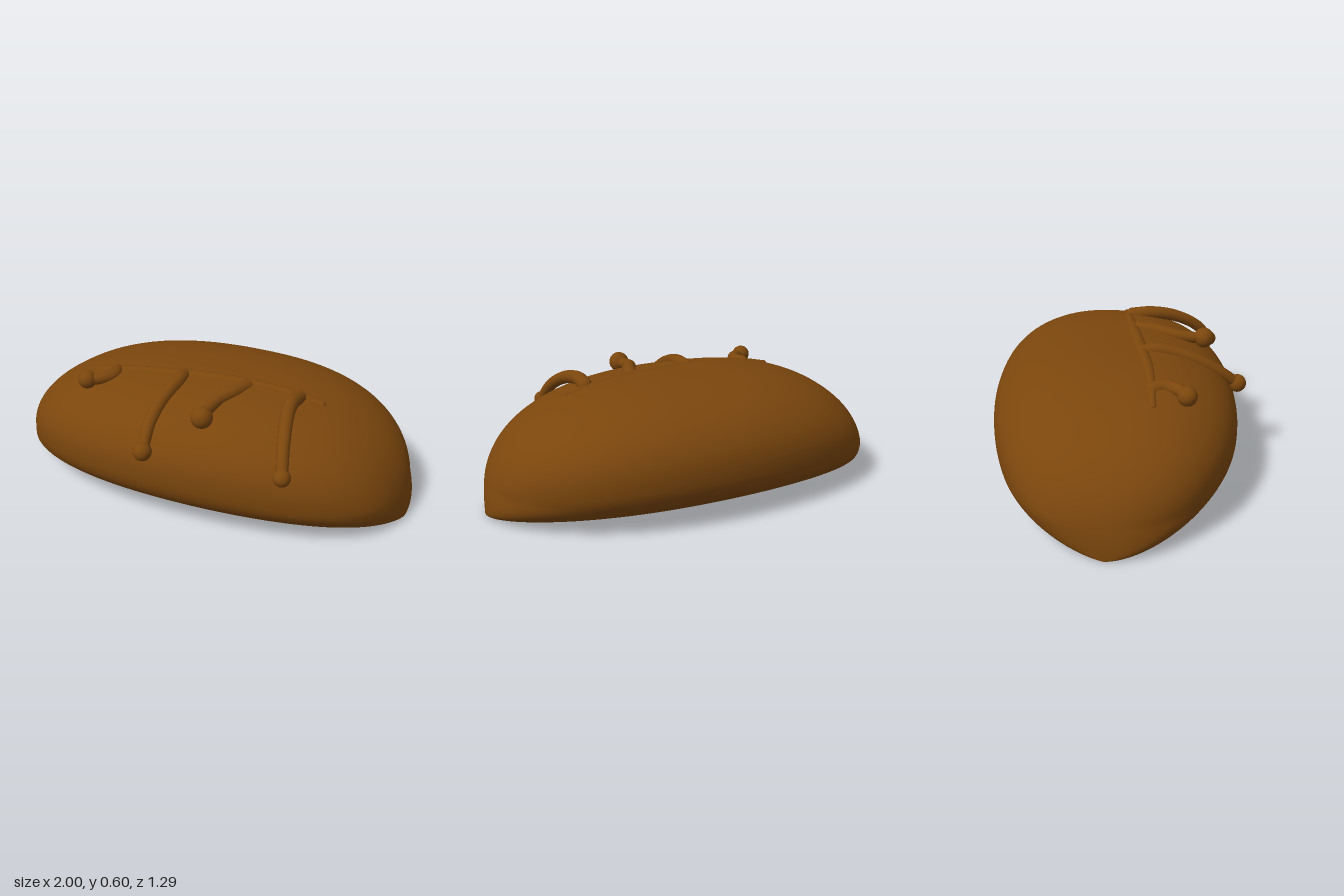
import * as THREE from 'three';

const crust = new THREE.MeshStandardMaterial({ color: 0x7b460d });
crust.name = 'crust brown';

// Loaf shape rules: sideways skew, half width and height along x
const skew = x => -0.01 - 0.17 * x + 0.08 * x ** 3;
const halfWidth = x => 0.611 * Math.max(0, 1 - Math.abs(x) ** 2.15) ** 0.47;
const height = x => 0.583 * Math.max(0, 1 - Math.abs(x) ** 2.5) ** 0.4;
const WAIST = 0.43; // widest level as a share of the height
const TOP = 2.25, BASE = 2.5; // roundness of the dome and of the underside
const superPow = (v, n) => Math.sign(v) * Math.abs(v) ** (2 / n);

// Height of the loaf's upper surface at x, z
function surfaceY(x, z) {
  const u = Math.min(1, Math.abs(z - skew(x)) / halfWidth(x));
  return height(x) * (WAIST + (1 - WAIST) * (1 - u ** TOP) ** (1 / TOP));
}

// Loaf body: cross-sections with a domed top and a flatter base
function loafGeometry(slices = 96, sides = 96) {
  const positions = [], index = [];
  for (let i = 0; i <= slices; i++) {
    const x = -Math.cos(Math.PI * i / slices);
    const w = halfWidth(x), h = height(x), c = skew(x);
    for (let j = 0; j < sides; j++) {
      const a = 2 * Math.PI * j / sides;
      const up = Math.sin(a) > 0;
      const n = up ? TOP : BASE;
      const y = Math.max(0, h * (WAIST + (up ? 1 - WAIST : WAIST) * superPow(Math.sin(a), n)));
      // the underside twists a little further towards the ends
      const twist = -0.07 * x ** 3 * Math.max(0, 1 - y / 0.15);
      positions.push(x, y, c + twist + w * superPow(Math.cos(a), n));
    }
  }
  for (let i = 0; i < slices; i++) {
    for (let j = 0; j < sides; j++) {
      const k = (j + 1) % sides;
      const a = i * sides + j, b = a + sides;
      const d = i * sides + k, e = d + sides;
      index.push(a, b, d, b, e, d);
    }
  }
  const geometry = new THREE.BufferGeometry();
  geometry.setAttribute('position', new THREE.Float32BufferAttribute(positions, 3));
  geometry.setIndex(index);
  geometry.computeVertexNormals();
  return geometry;
}

// Tube whose radius follows a rule along its length
function taperedTube(points, radiusAt, segments = 64, sides = 16) {
  const curve = new THREE.CatmullRomCurve3(points);
  const geometry = new THREE.TubeGeometry(curve, segments, 1, sides, false);
  const pos = geometry.attributes.position, v = new THREE.Vector3();
  for (let i = 0; i <= segments; i++) {
    const t = i / segments, centre = curve.getPointAt(t);
    for (let j = 0; j <= sides; j++) {
      const k = i * (sides + 1) + j;
      v.fromBufferAttribute(pos, k).sub(centre).multiplyScalar(radiusAt(t)).add(centre);
      pos.setXYZ(k, v.x, v.y, v.z);
    }
  }
  return geometry;
}

function addMesh(parent, name, geometry) {
  const mesh = new THREE.Mesh(geometry, crust);
  mesh.name = name;
  parent.add(mesh);
  return mesh;
}

function addBall(parent, name, centre, radius) {
  addMesh(parent, name, new THREE.SphereGeometry(radius, 24, 16)).position.copy(centre);
}

export function createModel() {
  const model = new THREE.Group();
  model.name = 'loaf';
  addMesh(model, 'loafBody', loafGeometry());

  // Low seam running diagonally over the top, mostly sunk into the crust
  const seam = new THREE.Group();
  seam.name = 'seam';
  model.add(seam);
  const seamRadius = t => 0.017 + 0.024 * Math.sin(Math.PI * t);
  const seamXZ = [[-0.54, 0.27], [-0.42, 0.245], [-0.25, 0.2], [-0.08, 0.14],
    [0.1, 0.08], [0.3, 0.015], [0.45, -0.03], [0.58, -0.06]];
  const seamPoints = seamXZ.map(([x, z], i) => new THREE.Vector3(
    x, surfaceY(x, z) + 0.009 - seamRadius(i / 7), z));
  addMesh(seam, 'seamRidge', taperedTube(seamPoints, seamRadius));
  addBall(seam, 'seamEnd', seamPoints[0], 0.018);
  addBall(seam, 'seamEnd', seamPoints[7], 0.018);

  // Drips flowing forward from the seam, each ending in a ball
  const drips = [
    { ball: 0.045, path: [[-0.41, 0.525, 0.25], [-0.385, 0.533, 0.3],
      [-0.405, 0.532, 0.36], [-0.46, 0.53, 0.412]] },
    { ball: 0.044, path: [[-0.07, 0.555, 0.14], [-0.045, 0.565, 0.22],
      [-0.025, 0.525, 0.38], [0.0, 0.462, 0.5], [0.04, 0.385, 0.598]] },
    { ball: 0.051, path: [[0.24, 0.555, 0.07], [0.23, 0.56, 0.15],
      [0.205, 0.55, 0.25], [0.21, 0.54, 0.33], [0.23, 0.535, 0.405]] },
    { ball: 0.04, path: [[0.48, 0.54, -0.01], [0.5, 0.55, 0.09],
      [0.55, 0.525, 0.21], [0.61, 0.455, 0.325], [0.65, 0.366, 0.392]] },
  ];
  drips.forEach(({ ball, path }, i) => {
    const drip = new THREE.Group();
    drip.name = `drip${i + 1}`;
    const points = path.map(p => new THREE.Vector3(...p));
    addMesh(drip, 'dripStem', taperedTube(points, t => 0.036 - 0.009 * t, 40));
    addBall(drip, 'dripRoot', points[0], 0.036);
    addBall(drip, 'dripBall', points[points.length - 1], ball);
    model.add(drip);
  });
  return model;
}
